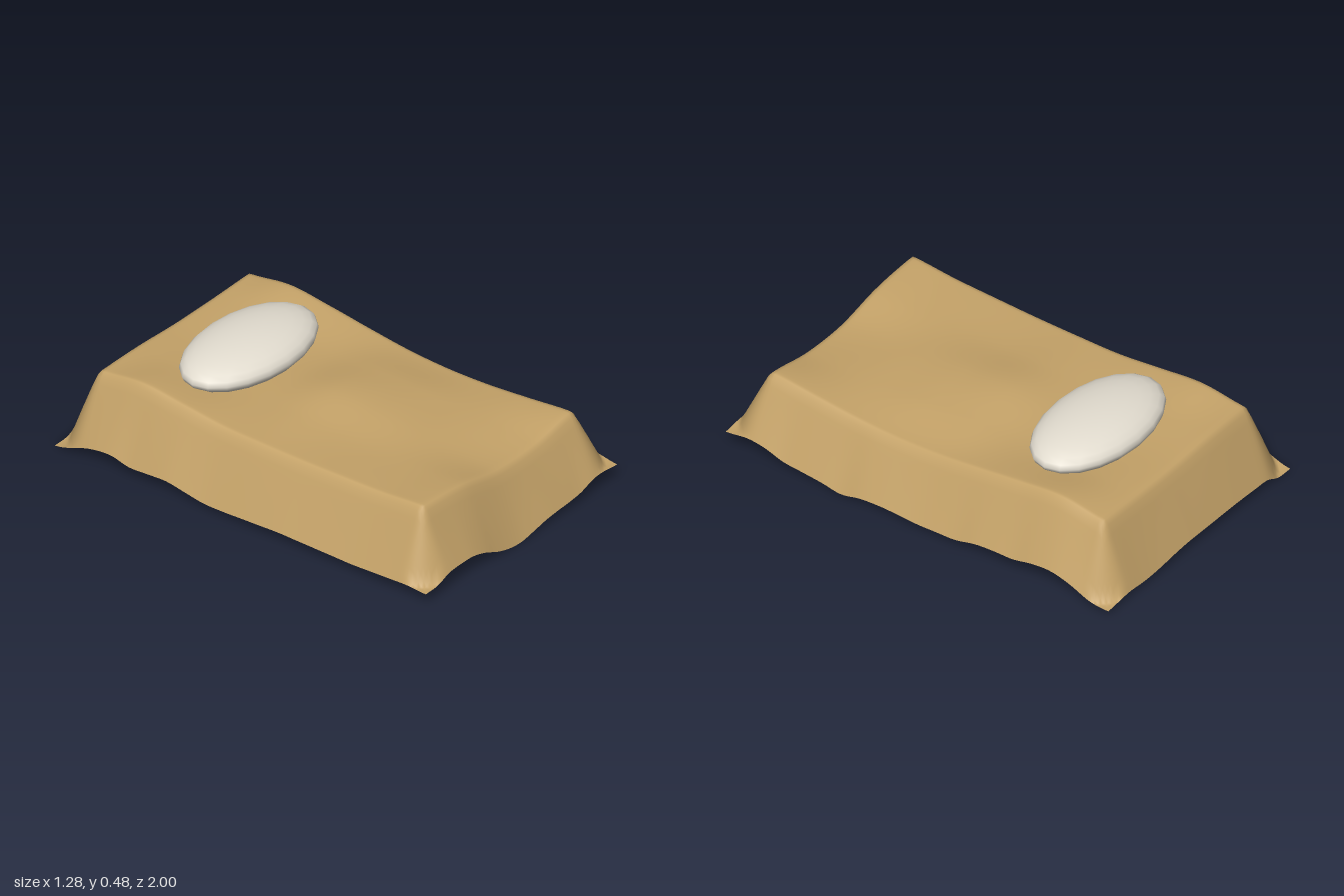
import * as THREE from 'three';

// Smooth cubic through evenly spaced values, t from 0 to 1
function curve(values, t) {
  const n = values.length - 1;
  const p = THREE.MathUtils.clamp(t, 0, 1) * n;
  const i = Math.min(Math.floor(p), n - 1), f = p - i;
  const at = k => values[THREE.MathUtils.clamp(k, 0, n)];
  const a = at(i - 1), b = at(i), c = at(i + 1), d = at(i + 2);
  return b + 0.5 * f * (c - a + f * (2 * a - 5 * b + 4 * c - d + f * (3 * (b - c) + d - a)));
}

const HALF_X = 0.64, HALF_Z = 1;   // hem
const TOP_X = 0.49, TOP_Z = 0.86;  // flat top

// Heights of the top: columns from -x to +x, each running front to back
const topColumns = [
  [0.368, 0.35, 0.342, 0.336, 0.335, 0.338, 0.36, 0.38, 0.355],
  [0.352, 0.34, 0.336, 0.338, 0.345, 0.335, 0.335, 0.35, 0.355],
  [0.308, 0.318, 0.338, 0.358, 0.368, 0.338, 0.33, 0.335, 0.345],
  [0.31, 0.318, 0.325, 0.34, 0.345, 0.33, 0.335, 0.345, 0.345],
  [0.352, 0.33, 0.31, 0.302, 0.31, 0.333, 0.36, 0.38, 0.35],
];

// Wavy hem heights: front and back run -x to +x, sides run front to back
const hemFront = [0.055, 0.06, 0.085, 0.09, 0.087, 0.065, 0.03, 0.007, 0, 0.012, 0.027, 0.035, 0.04, 0.05, 0.075, 0.08, 0.07];
const hemBack = [0, 0.003, 0.035, 0.04, 0.043, 0.045, 0.045, 0.045, 0.045, 0.045, 0.04, 0.032, 0.026, 0.026, 0.032, 0.028, 0.02];
const hemLeft = [0.07, 0.085, 0.075, 0.045, 0.035, 0.025, 0.01, 0.03, 0.037, 0.035, 0.03, 0.033, 0.037, 0.06, 0.068, 0.07, 0.09, 0.095, 0.07, 0.03, 0.02];
const hemRight = [0.055, 0.06, 0.055, 0.05, 0.045, 0.045, 0.045, 0.045, 0.045, 0.04, 0.035, 0.03, 0.03, 0.045, 0.06, 0.055, 0.05, 0.07, 0.06, 0.03, 0];

function clothHeight(x, z) {
  const tz = (TOP_Z - z) / (2 * TOP_Z);
  const top = curve(topColumns.map(c => curve(c, tz)), (x + TOP_X) / (2 * TOP_X));

  // How far past the rounded top edge: 0 on top, 1 at the hem
  const sx = Math.max(0, (Math.abs(x) - TOP_X) / (HALF_X - TOP_X));
  const sz = Math.max(0, (Math.abs(z) - TOP_Z) / (HALF_Z - TOP_Z));
  const d = Math.min(1, Math.hypot(sx, sz));
  if (d === 0) return top;
  const drop = (d < 0.2 ? d * d / 0.4 : d - 0.1) / 0.9;

  const endHem = curve(z > 0 ? hemFront : hemBack, (x + HALF_X) / (2 * HALF_X));
  const sideHem = curve(x > 0 ? hemLeft : hemRight, (HALF_Z - z) / (2 * HALF_Z));
  const w = sx * sx / (sx * sx + sz * sz);
  return THREE.MathUtils.lerp(top, THREE.MathUtils.lerp(endHem, sideHem, w), drop);
}

export function createModel() {
  const model = new THREE.Group();

  // Open sheet draped over a mattress shape
  const cloth = new THREE.PlaneGeometry(2 * HALF_X, 2 * HALF_Z, 80, 120);
  cloth.rotateX(-Math.PI / 2);
  const pos = cloth.attributes.position;
  for (let i = 0; i < pos.count; i++) {
    pos.setY(i, clothHeight(pos.getX(i), pos.getZ(i)));
  }
  cloth.computeVertexNormals();
  const blanket = new THREE.Mesh(cloth, new THREE.MeshStandardMaterial({ color: 0xc4a268, side: THREE.DoubleSide }));
  blanket.name = 'blanket';
  model.add(blanket);

  // Flattened oval pillow sunk into the cloth
  const pillow = new THREE.Mesh(
    new THREE.SphereGeometry(1, 20, 14),
    new THREE.MeshStandardMaterial({ color: 0xe2dccf })
  );
  pillow.name = 'pillow';
  pillow.scale.set(0.38, 0.092, 0.22);
  pillow.position.set(0, 0.384, -0.47);
  model.add(pillow);

  return model;
}
